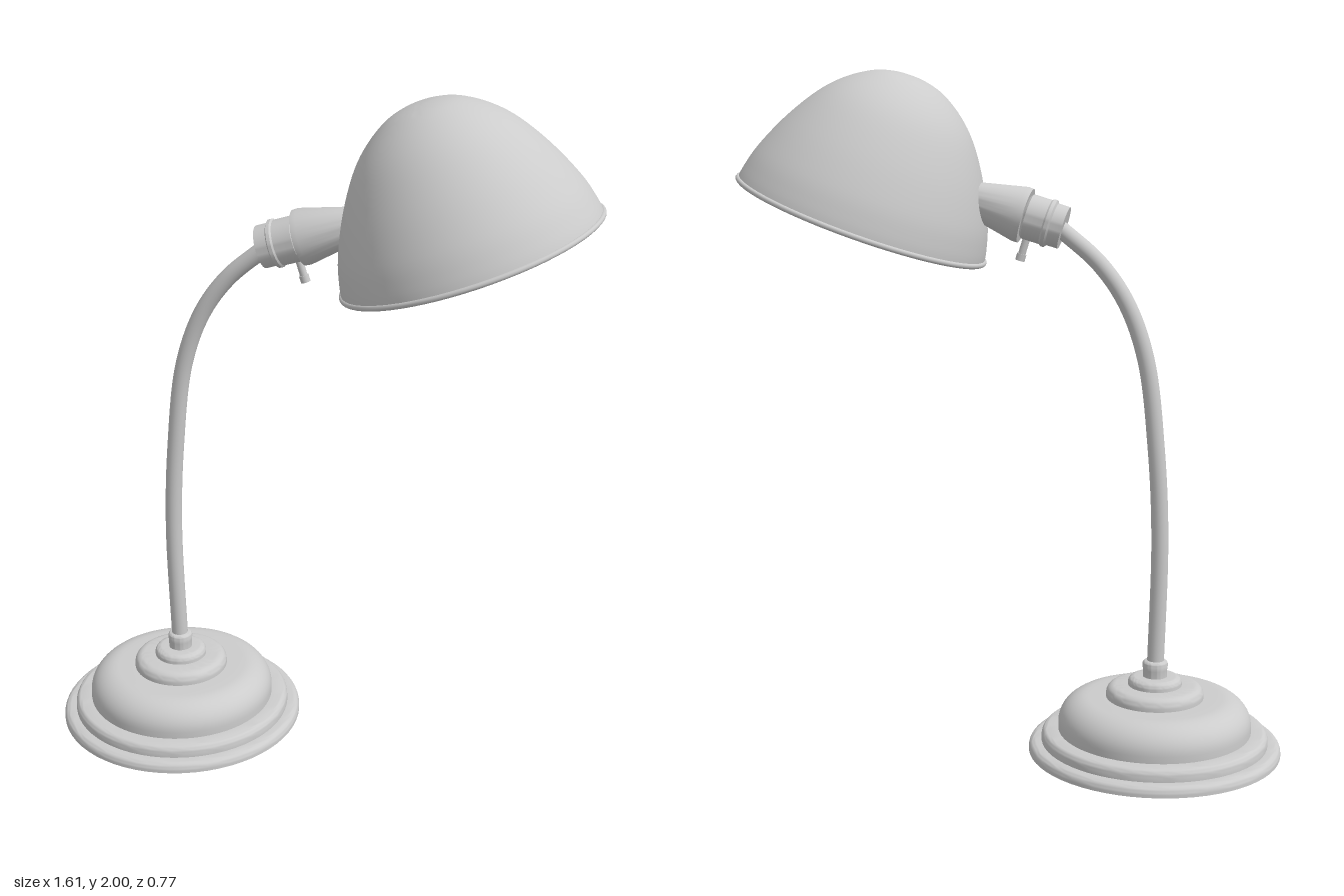
import * as THREE from 'three';
import { toCreasedNormals } from 'three/addons/utils/BufferGeometryUtils.js';

const material = new THREE.MeshStandardMaterial({ color: 0xcccccc, side: THREE.DoubleSide });

function addMesh(parent, name, geometry) {
  const mesh = new THREE.Mesh(geometry, material);
  mesh.name = name;
  parent.add(mesh);
  return mesh;
}

// Turned part from [radius, height] pairs, with sharp steps kept crisp
function turned(parent, name, pairs, segments = 48) {
  const points = pairs.map(([r, y]) => new THREE.Vector2(r, y));
  return addMesh(parent, name, toCreasedNormals(new THREE.LatheGeometry(points, segments), 0.6));
}

// Quarter-round shoulder from (r + a, y) up to (r, y + b)
function shoulder(r, y, a, b, steps = 6) {
  return Array.from({ length: steps + 1 }, (_, i) => {
    const t = (i / steps) * Math.PI / 2;
    return [r + a * Math.cos(t), y + b * Math.sin(t)];
  });
}

export function createModel() {
  const lamp = new THREE.Group();
  lamp.name = 'deskLamp';

  // Stepped hollow base
  const base = turned(lamp, 'base', [
    [0.375, 0],
    ...shoulder(0.355, 0.008, 0.02, 0.022),
    [0.337, 0.03],
    ...shoulder(0.318, 0.043, 0.019, 0.022),
    [0.287, 0.065],
    ...shoulder(0.2, 0.085, 0.087, 0.08, 10),
    [0.145, 0.165],
    ...shoulder(0.115, 0.175, 0.03, 0.027),
    [0.08, 0.202],
    ...shoulder(0.06, 0.21, 0.02, 0.018),
    [0.036, 0.228], [0.036, 0.25],
    ...shoulder(0.03, 0.262, 0.008, 0.014),
    [0.02, 0.278],
  ], 64);
  base.position.x = -0.435;

  // Curved stem
  const path = new THREE.CatmullRomCurve3([
    [-0.435, 0.23], [-0.443, 0.65], [-0.428, 0.92], [-0.394, 1.18],
    [-0.336, 1.34], [-0.257, 1.452], [-0.14, 1.553],
  ].map(([x, y]) => new THREE.Vector3(x, y, 0)));
  addMesh(lamp, 'stem', new THREE.TubeGeometry(path, 64, 0.025, 20));

  // Lamp holder: collar, ring, flared cup and switch
  const holder = new THREE.Group();
  holder.name = 'lampHolder';
  holder.position.set(-0.04, 1.587, 0);
  holder.rotation.z = THREE.MathUtils.degToRad(17) - Math.PI / 2;
  lamp.add(holder);
  turned(holder, 'collar', [
    [0, -0.12], [0.062, -0.12], [0.062, -0.085], [0.07, -0.08],
    [0.07, -0.07], [0.066, -0.065], [0.066, -0.01], [0.055, 0], [0, 0],
  ]);
  turned(holder, 'cup', [[0, -0.004], [0.08, -0.004], [0.081, 0.012], [0.053, 0.145], [0, 0.145]]);
  const switchPeg = addMesh(holder, 'switchPeg', new THREE.CylinderGeometry(0.011, 0.011, 0.08, 16));
  switchPeg.rotation.z = Math.PI / 2;
  switchPeg.position.set(0.085, -0.025, 0);
  const switchTip = addMesh(holder, 'switchTip', new THREE.CylinderGeometry(0.014, 0.014, 0.02, 16));
  switchTip.rotation.z = Math.PI / 2;
  switchTip.position.set(0.118, -0.025, 0);

  // Bulb with its narrow neck
  const bulb = new THREE.Group();
  bulb.name = 'bulbAssembly';
  bulb.position.set(0.07, 1.627, 0);
  bulb.rotation.z = THREE.MathUtils.degToRad(4) - Math.PI / 2;
  lamp.add(bulb);
  turned(bulb, 'bulbSocket', [[0, 0], [0.042, 0], [0.042, 0.075], [0, 0.075]], 32);
  const glass = [[0.032, 0.06], [0.036, 0.085], [0.05, 0.11], [0.075, 0.14], [0.102, 0.175], [0.126, 0.22]];
  for (let i = 0; i <= 12; i++) {
    const t = (i / 12) * Math.PI / 2;
    glass.push([0.14 * Math.cos(t), 0.28 + 0.19 * Math.sin(t)]);
  }
  turned(bulb, 'bulb', glass);

  // Tilted domed shade with an inner wall and rolled rim
  const shade = new THREE.Group();
  shade.name = 'shadeAssembly';
  shade.position.set(0.44, 1.568, 0);
  shade.rotation.z = THREE.MathUtils.degToRad(20.2);
  lamp.add(shade);
  const dome = new THREE.SplineCurve([
    [0.378, 0], [0.371, 0.04], [0.35, 0.11], [0.302, 0.212], [0.24, 0.309],
    [0.18, 0.372], [0.11, 0.418], [0.05, 0.437], [0, 0.441],
  ].map(([r, y]) => new THREE.Vector2(r, y))).getPoints(36);
  const outer = dome.map(p => [Math.max(p.x, 0), p.y]);
  turned(shade, 'shade', outer, 64);
  turned(shade, 'shadeLining', outer.map(([r, y]) => [r * 0.98, y * 0.98]), 64);
  const rim = addMesh(shade, 'shadeRim', new THREE.TorusGeometry(0.376, 0.008, 10, 64));
  rim.rotation.x = Math.PI / 2;
  rim.position.y = 0.004;

  return lamp;
}
